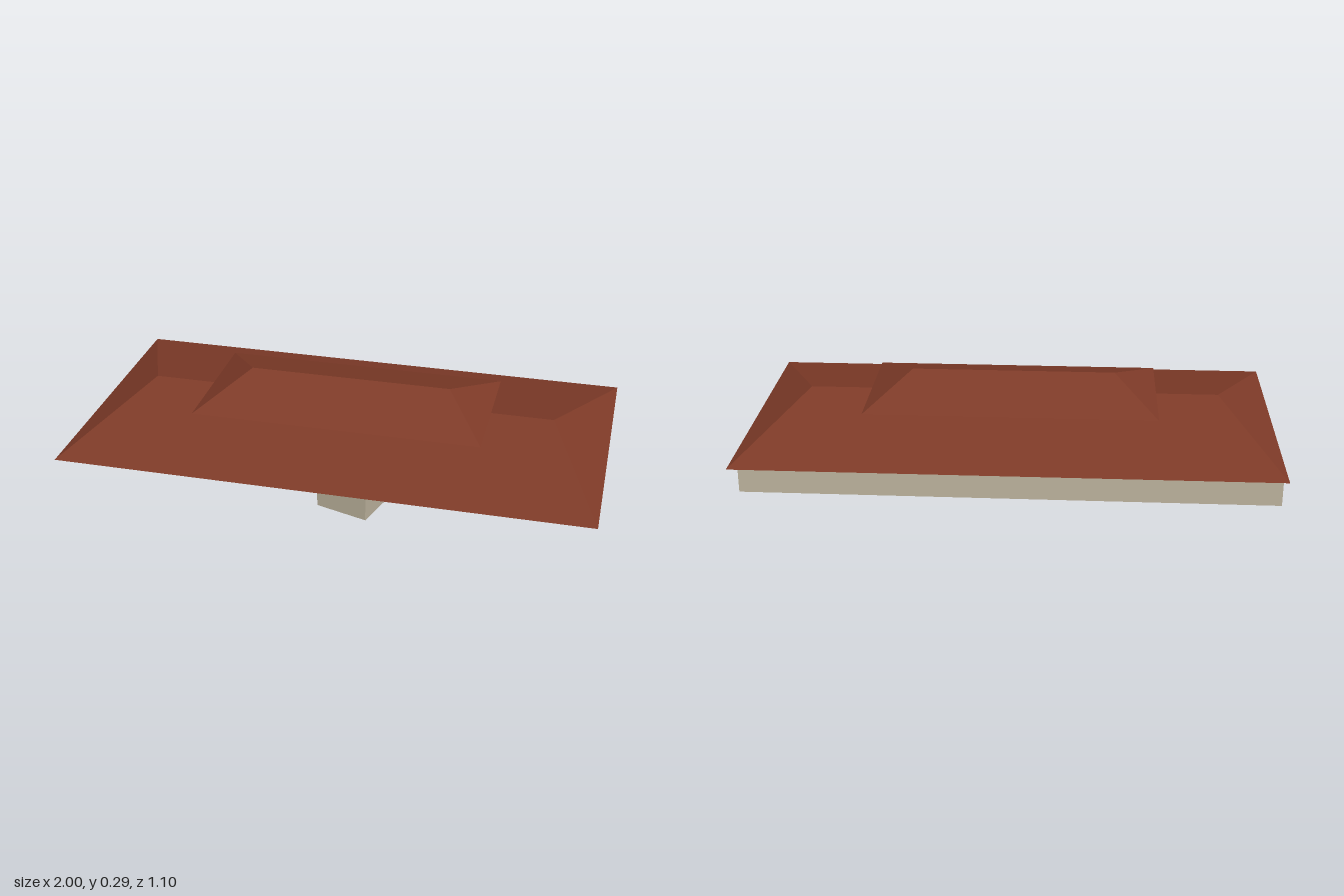
import * as THREE from 'three';

const roofMaterial = new THREE.MeshStandardMaterial({ color: 0x7f3b28, side: THREE.DoubleSide, flatShading: true });
roofMaterial.name = 'terracotta';
const wallMaterial = new THREE.MeshStandardMaterial({ color: 0xc0b6a0, side: THREE.DoubleSide, flatShading: true });
wallMaterial.name = 'sandstone';

const EAVE = 0.1, RIDGE = 0.208, TOP = 0.29;
const TURN = -0.0178; // the roofs sit slightly turned about the vertical axis

function makeMesh(name, positions, index, material) {
  const geometry = new THREE.BufferGeometry();
  geometry.setAttribute('position', new THREE.Float32BufferAttribute(positions, 3));
  geometry.setIndex(index);
  const flat = geometry.toNonIndexed();
  flat.computeVertexNormals();
  const mesh = new THREE.Mesh(flat, material);
  mesh.name = name;
  return mesh;
}

// Hipped roof shell, open below: four eave corners and two ridge ends
function hipRoof(name, halfX, halfZ, ridgeX, y0, y1) {
  const positions = [
    -halfX, y0, halfZ, halfX, y0, halfZ, halfX, y0, -halfZ, -halfX, y0, -halfZ,
    -ridgeX, y1, 0, ridgeX, y1, 0,
  ];
  const index = [0, 1, 5, 0, 5, 4, 1, 2, 5, 2, 3, 4, 2, 4, 5, 3, 0, 4];
  const roof = makeMesh(name, positions, index, roofMaterial);
  roof.rotation.y = TURN;
  return roof;
}

export function createModel() {
  const model = new THREE.Group();
  model.name = 'house';

  // Wall outline (x, z), counter-clockwise from above, with the skewed entrance at the front
  const outline = [
    [-0.975, 0.138], [0.077, 0.155], [-0.02, 0.455], [0.17, 0.517],
    [0.282, 0.16], [0.953, 0.172], [0.965, -0.488], [-0.963, -0.527],
  ];

  // Thin outer walls
  const positions = [], index = [];
  outline.forEach(([x, z], i) => {
    positions.push(x, 0, z, x, EAVE, z);
    const a = i * 2, b = ((i + 1) % outline.length) * 2;
    index.push(a, b, b + 1, a, b + 1, a + 1);
  });
  model.add(makeMesh('walls', positions, index, wallMaterial));

  // Ceiling over the walled area
  const shape = new THREE.Shape(outline.map(([x, z]) => new THREE.Vector2(x, -z)));
  const ceiling = new THREE.Mesh(new THREE.ShapeGeometry(shape).rotateX(-Math.PI / 2), roofMaterial);
  ceiling.position.y = EAVE;
  ceiling.name = 'ceiling';
  model.add(ceiling);

  // Two tiers of hipped roof
  model.add(hipRoof('lowerRoof', 0.99, 0.533, 0.78, EAVE, RIDGE));
  model.add(hipRoof('upperRoof', 0.545, 0.267, 0.385, RIDGE + 0.001, TOP));

  return model;
}
